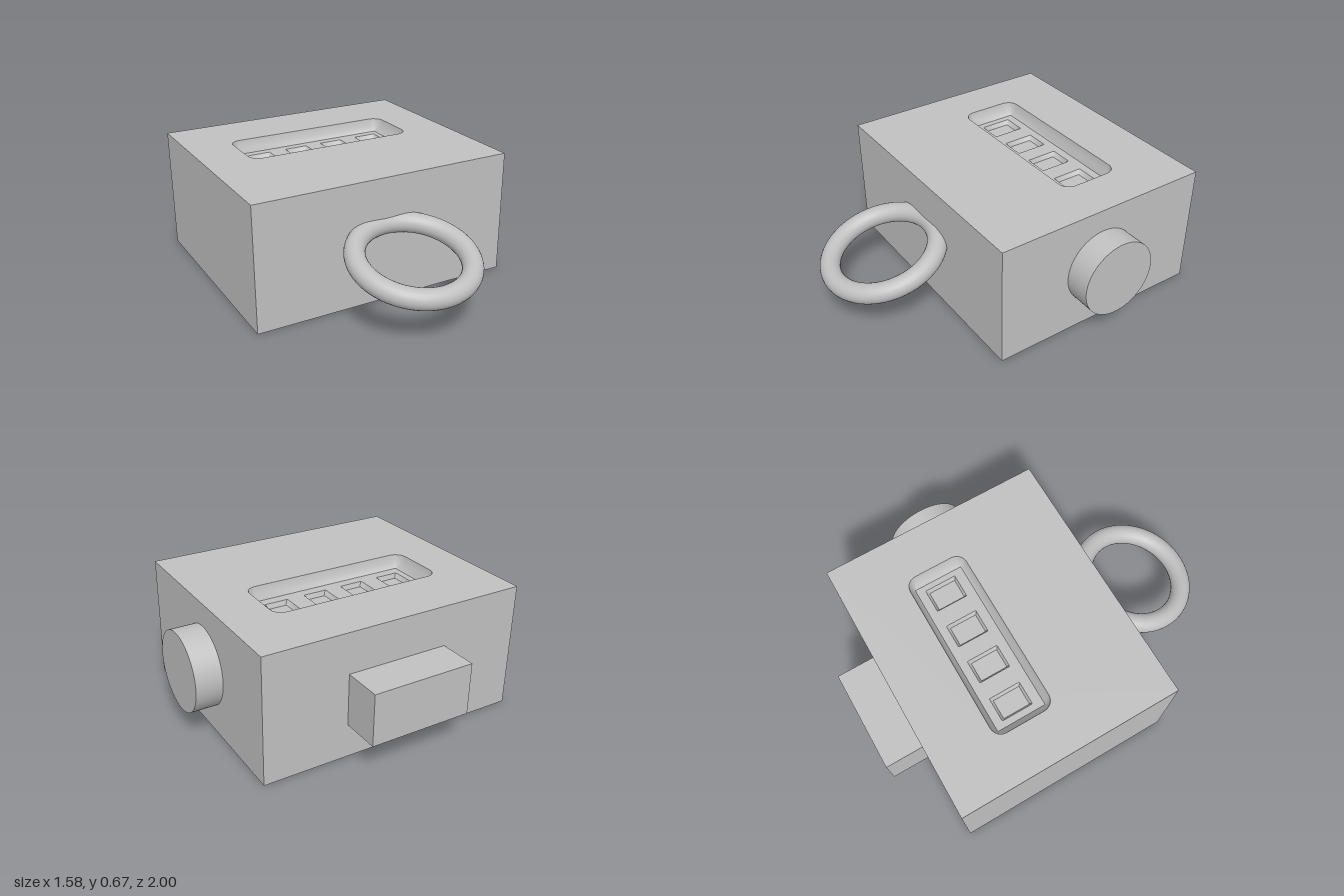
import * as THREE from 'three';
import { toCreasedNormals } from 'three/addons/utils/BufferGeometryUtils.js';

const metal = new THREE.MeshStandardMaterial({ color: 0xc0c0c0 });
metal.name = 'grey metal';

// Counter-clockwise rounded rectangle seen from above, as (x, -z) points
function ring(x0, x1, z0, z1, r, n = 6) {
  const corners = [[x1 - r, -z1 + r], [x1 - r, -z0 - r], [x0 + r, -z0 - r], [x0 + r, -z1 + r]];
  const points = [];
  corners.forEach(([cx, cy], k) => {
    for (let i = 0; i <= n; i++) {
      const a = (k - 1 + i / n) * Math.PI / 2;
      points.push(new THREE.Vector2(cx + r * Math.cos(a), cy + r * Math.sin(a)));
    }
  });
  return points;
}

// Flat upward-facing plate at height y, with optional holes
function plate(points, y, holes = []) {
  const shape = new THREE.Shape(points);
  shape.holes = holes.map((h) => new THREE.Path(h));
  return new THREE.ShapeGeometry(shape).rotateX(-Math.PI / 2).translate(0, y, 0);
}

// Inward-facing pocket wall through rings listed from top to bottom
function wall(levels) {
  const pos = [], index = [], n = levels[0].points.length;
  levels.forEach(({ points, y }) => points.forEach((p) => pos.push(p.x, y, -p.y)));
  for (let l = 0; l < levels.length - 1; l++) {
    for (let i = 0; i < n; i++) {
      const a = l * n + i, b = l * n + (i + 1) % n;
      index.push(a, b, a + n, b, b + n, a + n);
    }
  }
  const g = new THREE.BufferGeometry();
  g.setAttribute('position', new THREE.Float32BufferAttribute(pos, 3));
  g.setIndex(index);
  return toCreasedNormals(g, 0.7);
}

export function createModel() {
  const group = new THREE.Group();
  const add = (name, geometry) => {
    const mesh = new THREE.Mesh(geometry, metal);
    mesh.name = name;
    group.add(mesh);
    return mesh;
  };
  const TOP = 0.67, FLOOR = 0.6, X0 = -0.79, X1 = 0.65, Z0 = -0.795, Z1 = 0.42;

  // Case: a box without its top, closed by a plate with the display opening
  const box = new THREE.BoxGeometry(X1 - X0, TOP, Z1 - Z0);
  const faces = Array.from(box.index.array);
  faces.splice(12, 6);
  box.setIndex(faces);
  box.clearGroups();
  box.translate((X0 + X1) / 2, TOP / 2, (Z0 + Z1) / 2);
  add('caseSides', box);

  const rim = ring(-0.545, 0.4, -0.47, -0.14, 0.06);
  const middle = ring(-0.535, 0.39, -0.462, -0.148, 0.05);
  const base = ring(-0.505, 0.36, -0.44, -0.17, 0.004);
  const outline = [[X0, -Z1], [X1, -Z1], [X1, -Z0], [X0, -Z0]].map((p) => new THREE.Vector2(...p));
  add('caseTop', plate(outline, TOP, [rim]));
  add('displayWall', wall([
    { points: rim, y: TOP }, { points: middle, y: 0.63 }, { points: base, y: FLOOR },
  ]));

  // Four sunken digit windows in the display floor
  const windows = [-0.405, -0.18, 0.04, 0.265].map((x) => ({
    outer: ring(x - 0.065, x + 0.065, -0.395, -0.222, 0.003, 1),
    inner: ring(x - 0.053, x + 0.053, -0.38, -0.232, 0.003, 1),
  }));
  add('displayFloor', plate(base, FLOOR, windows.map((w) => w.outer)));
  windows.forEach(({ outer, inner }) => {
    add('digitFrame', wall([{ points: outer, y: FLOOR }, { points: inner, y: FLOOR - 0.025 }]));
    add('digitWindow', plate(inner, FLOOR - 0.025));
  });

  // Push button at the back
  add('pushButton', new THREE.BoxGeometry(0.55, 0.275, 0.215)).position.set(-0.075, 0.317, -0.8925);

  // Reset knob on the left side
  const knob = add('resetKnob', new THREE.CylinderGeometry(0.21, 0.21, 0.15, 64));
  knob.rotation.z = -Math.PI / 2;
  knob.position.set(0.715, 0.336, -0.185);

  // Finger ring, drooping towards the front
  const loop = add('fingerRing', new THREE.TorusGeometry(0.287, 0.053, 24, 72));
  loop.rotation.x = Math.PI / 2 + THREE.MathUtils.degToRad(15);
  loop.position.set(-0.07, 0.336, 0.665);

  return group;
}
